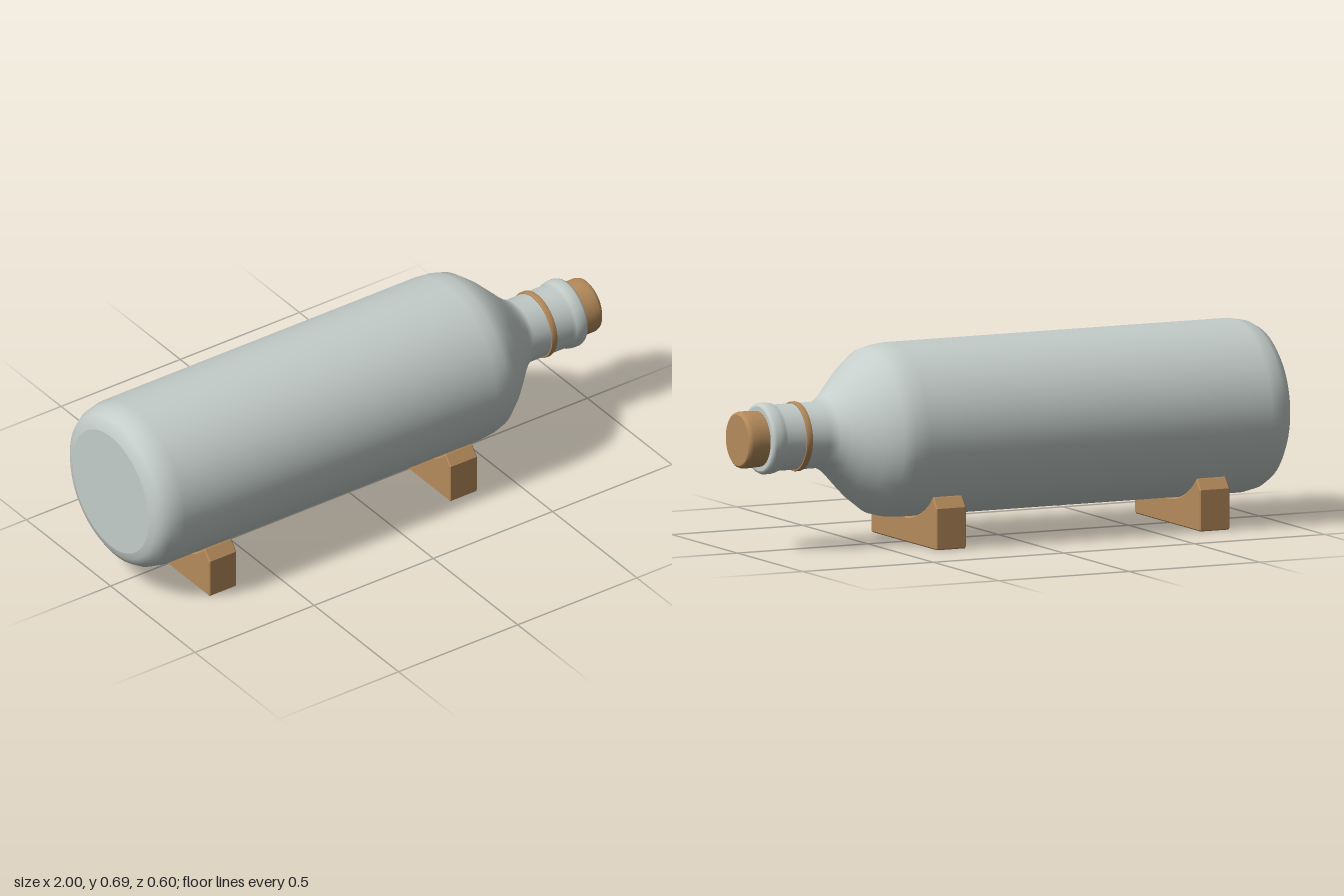
import * as THREE from 'three';

const AXIS_Y = 0.39; // height of the bottle's long axis

const glass = new THREE.MeshStandardMaterial({ color: 0xc4cdca });
glass.name = 'pale grey glaze';
const wood = new THREE.MeshStandardMaterial({ color: 0xb58b5b });
wood.name = 'light wood';

// Turn a profile of [x, radius] points around the long axis.
// A repeated point makes a sharp edge.
function turned(name, profile, material) {
  const points = profile.map(([x, r]) => new THREE.Vector2(r, x));
  const geometry = new THREE.LatheGeometry(points, 72);
  geometry.rotateZ(-Math.PI / 2);
  const mesh = new THREE.Mesh(geometry, material);
  mesh.name = name;
  mesh.position.y = AXIS_Y;
  return mesh;
}

// Cradle block with a round cut-out for the bottle
function cradle(name, x) {
  const bevel = 0.004, width = 0.114, radius = 0.303;
  const angle = Math.asin((AXIS_Y - 0.18) / radius);
  const shape = new THREE.Shape();
  shape.moveTo(-0.246, 0);
  shape.lineTo(0.246, 0);
  shape.lineTo(0.25, 0.004);
  shape.lineTo(0.25, 0.143);
  shape.lineTo(0.222, 0.177);
  shape.absarc(0, AXIS_Y, radius, -angle, angle - Math.PI, true);
  shape.lineTo(-0.222, 0.177);
  shape.lineTo(-0.25, 0.143);
  shape.lineTo(-0.25, 0.004);
  shape.closePath();
  const geometry = new THREE.ExtrudeGeometry(shape, {
    depth: width - 2 * bevel, curveSegments: 32,
    bevelSize: bevel, bevelThickness: bevel, bevelOffset: -bevel, bevelSegments: 1,
  });
  geometry.translate(0, 0, bevel - width / 2);
  geometry.rotateY(Math.PI / 2);
  const mesh = new THREE.Mesh(geometry, wood);
  mesh.name = name;
  mesh.position.x = x;
  return mesh;
}

export function createModel() {
  const group = new THREE.Group();
  group.name = 'bottleOnStand';

  // Bottle: flat base, rounded heel, body, shoulder, neck, lip
  group.add(turned('bottle', [
    [-1, 0], [-1, 0.225], [-1, 0.225],
    [-0.993, 0.25], [-0.978, 0.273], [-0.95, 0.29], [-0.9, 0.3],
    [0.41, 0.3], [0.46, 0.295], [0.5, 0.284], [0.555, 0.242],
    [0.6, 0.198], [0.64, 0.157], [0.67, 0.131], [0.7, 0.114],
    [0.86, 0.114], [0.872, 0.12], [0.888, 0.123], [0.908, 0.123],
    [0.917, 0.119], [0.92, 0.111], [0.92, 0.111], [0.92, 0],
  ], glass));

  // Thin band around the neck
  group.add(turned('neckBand', [
    [0.769, 0.11], [0.769, 0.118], [0.769, 0.118], [0.774, 0.12],
    [0.786, 0.12], [0.791, 0.118], [0.791, 0.118], [0.791, 0.11],
  ], wood));

  // Stopper
  group.add(turned('stopper', [
    [0.9, 0.095], [0.925, 0.096], [0.96, 0.098], [0.985, 0.098],
    [0.995, 0.095], [1, 0.088], [1, 0.088], [1, 0],
  ], wood));

  group.add(cradle('rearCradle', -0.705), cradle('frontCradle', 0.305));
  return group;
}
